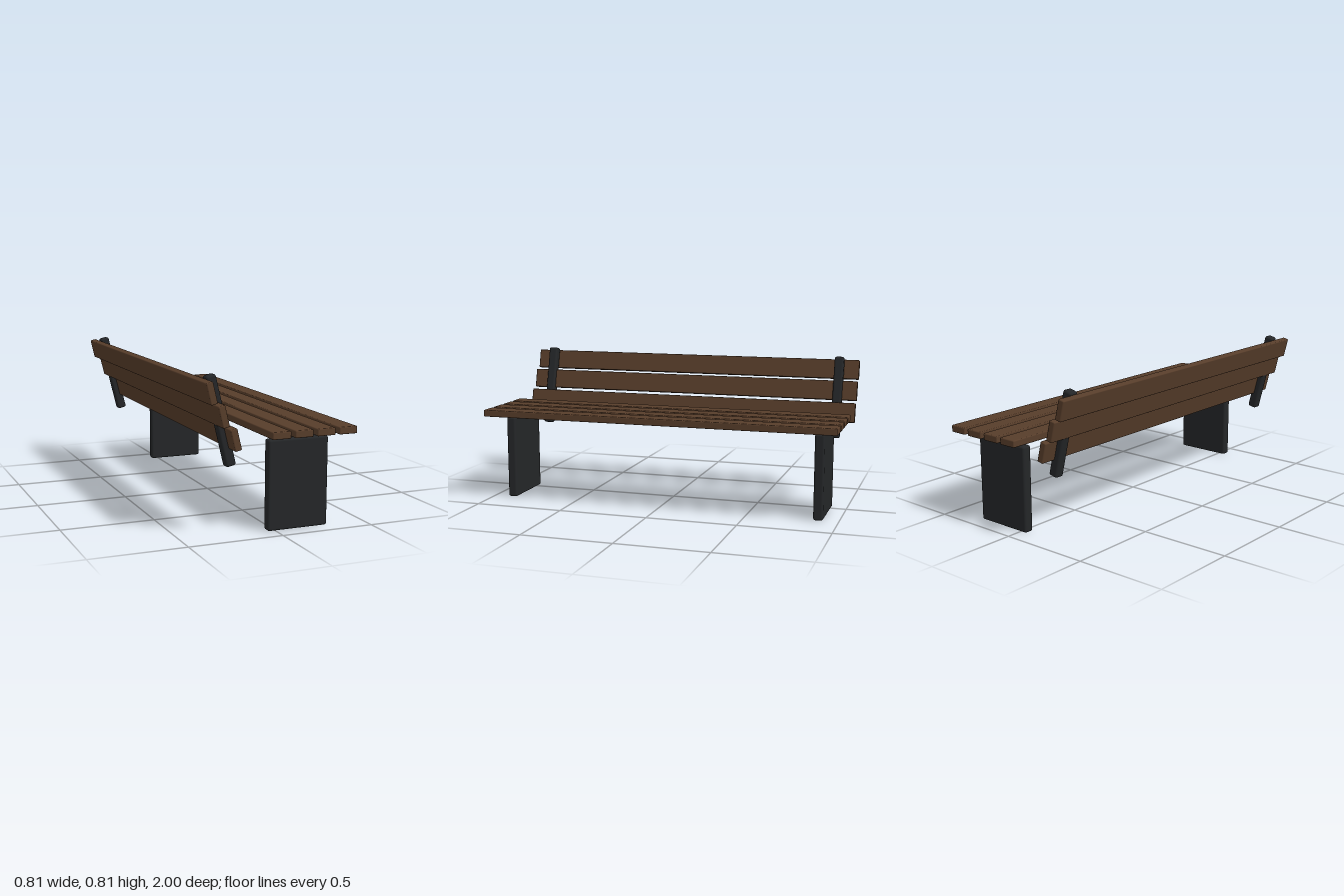
import * as THREE from 'three';
import { RoundedBoxGeometry } from 'three/addons/geometries/RoundedBoxGeometry.js';

export function createModel() {
  const bench = new THREE.Group();
  bench.name = 'bench';
  const wood = new THREE.MeshStandardMaterial({ color: 0x573d2a });
  const metal = new THREE.MeshStandardMaterial({ color: 0x242628 });
  const lean = 0.238; // backrest tilt

  function block(name, material, size, position, radius, tilt = 0) {
    const mesh = new THREE.Mesh(new RoundedBoxGeometry(...size, 2, radius), material);
    mesh.name = name;
    mesh.position.set(...position);
    mesh.rotation.z = tilt;
    bench.add(mesh);
  }

  // Four seat planks running along z
  for (let i = 0; i < 4; i++) {
    block(`seatSlat${i + 1}`, wood, [0.1, 0.038, 2], [-0.011 + i * 0.122, 0.503, 0], 0.006);
  }

  // Three backrest planks, stepped from the rear face to the front face of the posts
  [[-0.378, 0.731], [-0.316, 0.616], [-0.253, 0.499]].forEach(([x, y], i) => {
    block(`backSlat${i + 1}`, wood, [0.036, 0.111, 2], [x, y, 0], 0.006, lean);
  });

  // Slab legs and leaning back posts at both ends
  for (const side of [1, -1]) {
    const end = side > 0 ? 'Front' : 'Rear';
    block(`leg${end}`, metal, [0.331, 0.467, 0.053], [0.123, 0.2335, side * 0.89], 0.012);
    block(`backPost${end}`, metal, [0.053, 0.466, 0.053], [-0.296, 0.579, side * 0.89], 0.012, lean);
  }
  return bench;
}
